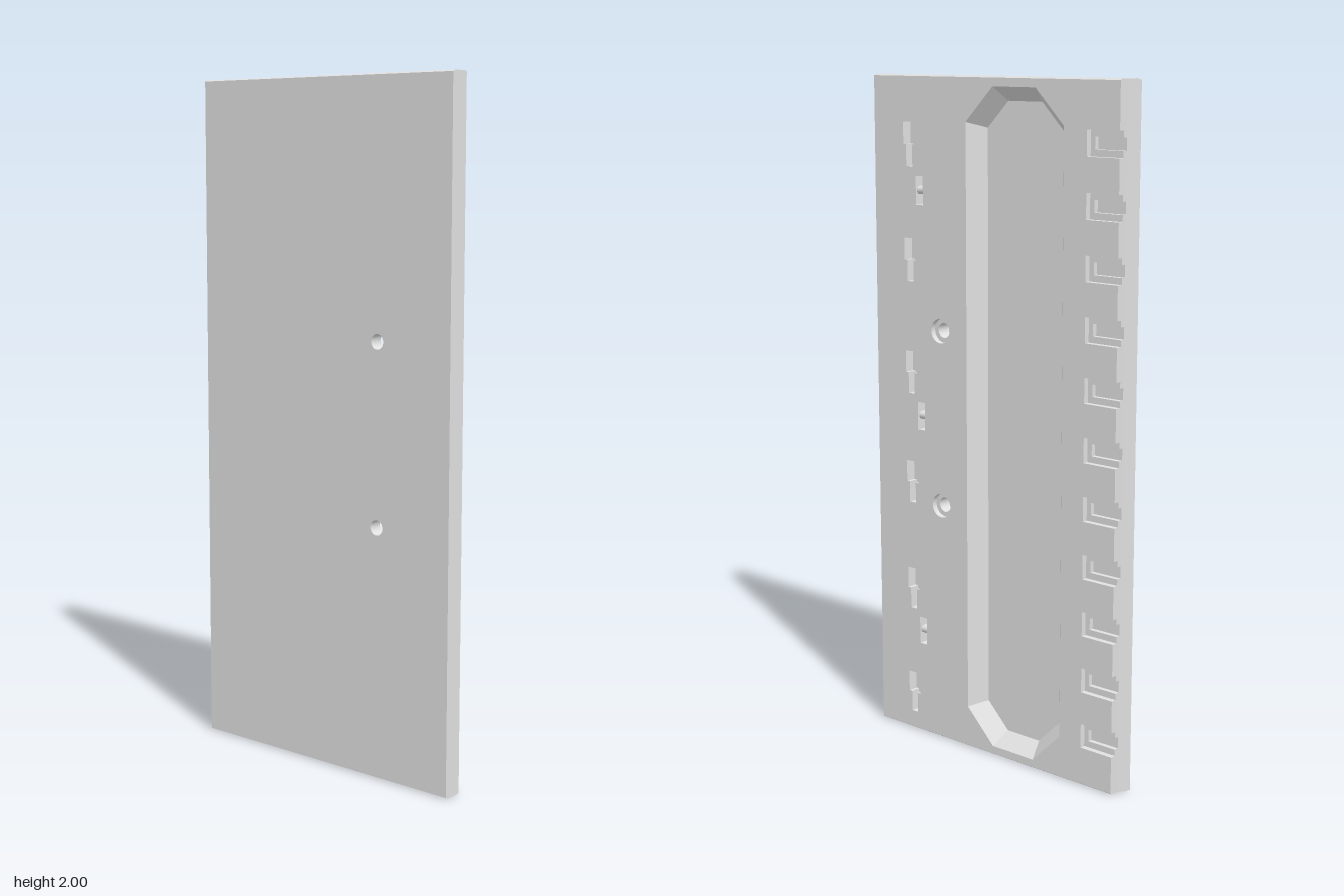
import * as THREE from 'three';

const BACK = -0.029, FRONT = 0.029, FLOOR = 0.02, MID = 0.002, SLOT = -0.012;
const LEFT = -0.44, LIP_MID = -0.4564, LIP_TIP = -0.465, RIGHT = 0.465, TOP = 2;
const CLIP_X = 0.287, CLIP_YS = [1.67, 1, 0.327];
const v = (x, y) => new THREE.Vector2(x, y);

// Closed rectangle as a path
const rect = (cx, cy, w, h) => new THREE.Path([
  v(cx - w / 2, cy - h / 2), v(cx + w / 2, cy - h / 2),
  v(cx + w / 2, cy + h / 2), v(cx - w / 2, cy + h / 2)]);

const circle = (cx, cy, r) => new THREE.Path().absarc(cx, cy, r, 0, Math.PI * 2);

// Long octagon of the pocket, counter-clockwise, shrunk by inset
function pocketPoints(inset) {
  const x0 = -0.252 + inset, x1 = 0.105 - inset, y0 = 0.027 + inset, y1 = 1.972 - inset;
  const c = 0.1 - inset * 0.59;
  return [v(x0 + c, y0), v(x1 - c, y0), v(x1, y0 + c), v(x1, y1 - c),
    v(x1 - c, y1), v(x0 + c, y1), v(x0, y1 - c), v(x0, y0 + c)];
}

// Panel outline, optionally with eleven open notches along the -x edge
function outline(left, notchHeight, notchX) {
  const pts = [v(left, 0), v(RIGHT, 0), v(RIGHT, TOP), v(left, TOP)];
  if (notchHeight) {
    for (let i = 0; i < 11; i++) {
      const y = 1.83 - i * 0.168, h = notchHeight / 2;
      pts.push(v(left, y + h), v(notchX, y + h), v(notchX, y - h), v(left, y - h));
    }
  }
  return new THREE.Shape(pts);
}

const screwHoles = (r) => [1.265, 0.737].map((y) => circle(0.208, y, r));

// Keyhole: wide head above a narrow neck
function keyhole(x, y) {
  return new THREE.Path([v(x - 0.012, y - 0.068), v(x + 0.012, y - 0.068), v(x + 0.012, y - 0.005),
    v(x + 0.023, y - 0.005), v(x + 0.023, y + 0.06), v(x - 0.023, y + 0.06),
    v(x - 0.023, y - 0.005), v(x - 0.012, y - 0.005)]);
}

const keyholes = () => Array.from({ length: 6 }, (_, i) => keyhole(0.326, 1.806 - i * 0.3366));

// One slab of the panel; at z = bevelZ the top and bottom edges draw in and the lip runs out
function layer(shape, holes, z0, z1, bevelZ) {
  shape.holes = holes;
  const geo = new THREE.ExtrudeGeometry(shape, { depth: z1 - z0, bevelEnabled: false, curveSegments: 24 });
  geo.translate(0, 0, z0);
  const p = geo.attributes.position, b = 0.004;
  for (let i = 0; i < p.count && bevelZ !== undefined; i++) {
    if (Math.abs(p.getZ(i) - bevelZ) > 1e-4) continue;
    if (p.getY(i) > TOP - 1e-4) p.setY(i, TOP - b);
    if (p.getY(i) < 1e-4) p.setY(i, b);
    if (p.getX(i) < LIP_MID + 1e-4) p.setX(i, LIP_TIP);
  }
  geo.computeVertexNormals();
  return geo;
}

// Sloping walls between the pocket rim and its floor
function pocketWalls() {
  const outer = pocketPoints(0), inner = pocketPoints(0.04), pos = [];
  outer.forEach((a, i) => {
    const j = (i + 1) % outer.length, b = outer[j], A = inner[i], B = inner[j];
    pos.push(a.x, a.y, BACK, A.x, A.y, FLOOR, b.x, b.y, BACK);
    pos.push(b.x, b.y, BACK, A.x, A.y, FLOOR, B.x, B.y, FLOOR);
  });
  const geo = new THREE.BufferGeometry();
  geo.setAttribute('position', new THREE.Float32BufferAttribute(pos, 3));
  geo.computeVertexNormals();
  return geo;
}

// Wedge behind the lip, running the full height of the -x edge
function lip() {
  const section = new THREE.Shape([v(LEFT, -0.003), v(LIP_MID, -FLOOR), v(LEFT, -FLOOR)]);
  const geo = new THREE.ExtrudeGeometry(section, { depth: TOP, bevelEnabled: false });
  geo.rotateX(-Math.PI / 2);
  return geo;
}

export function createModel() {
  const group = new THREE.Group();
  const grey = new THREE.MeshStandardMaterial({ color: 0xe0e0e0 });
  grey.name = 'lightGrey';
  const add = (name, geo) => {
    const mesh = new THREE.Mesh(geo, grey);
    mesh.name = name;
    group.add(mesh);
  };
  const pocket = () => new THREE.Path(pocketPoints(0));
  const clipSlots = () => CLIP_YS.map((y) => rect(CLIP_X, y, 0.028, 0.084));
  const clipWindows = () => CLIP_YS.flatMap((y) => [
    rect(CLIP_X, y + 0.027, 0.028, 0.03), rect(CLIP_X, y - 0.027, 0.028, 0.03)]);
  const outerHoles = () => [pocket(), ...screwHoles(0.036), ...keyholes(), ...clipSlots()];

  // Slabs from back to front
  add('backSkin', layer(outline(LEFT, 0.072, -0.33), outerHoles(), BACK, BACK + 0.006, BACK));
  add('notchRecessLayer', layer(outline(LEFT, 0.072, -0.33), outerHoles(), BACK + 0.006, SLOT));
  add('notchSlotLayer', layer(outline(LEFT, 0.035, -0.345),
    [pocket(), ...screwHoles(0.022), ...keyholes(), ...clipWindows()], SLOT, MID));
  add('coreLayer', layer(outline(LEFT), [pocket(), ...screwHoles(0.022)], MID, FLOOR));
  add('frontSkin', layer(outline(LIP_MID), screwHoles(0.022), FLOOR, FRONT, FRONT));

  // Rounded bars across the clip slots
  for (const y of CLIP_YS) {
    const bar = new THREE.CylinderGeometry(0.012, 0.012, 0.028, 16);
    bar.rotateZ(Math.PI / 2);
    bar.translate(CLIP_X, y, SLOT);
    add('clipBar', bar);
  }

  add('pocketWalls', pocketWalls());
  add('edgeLip', lip());
  return group;
}
